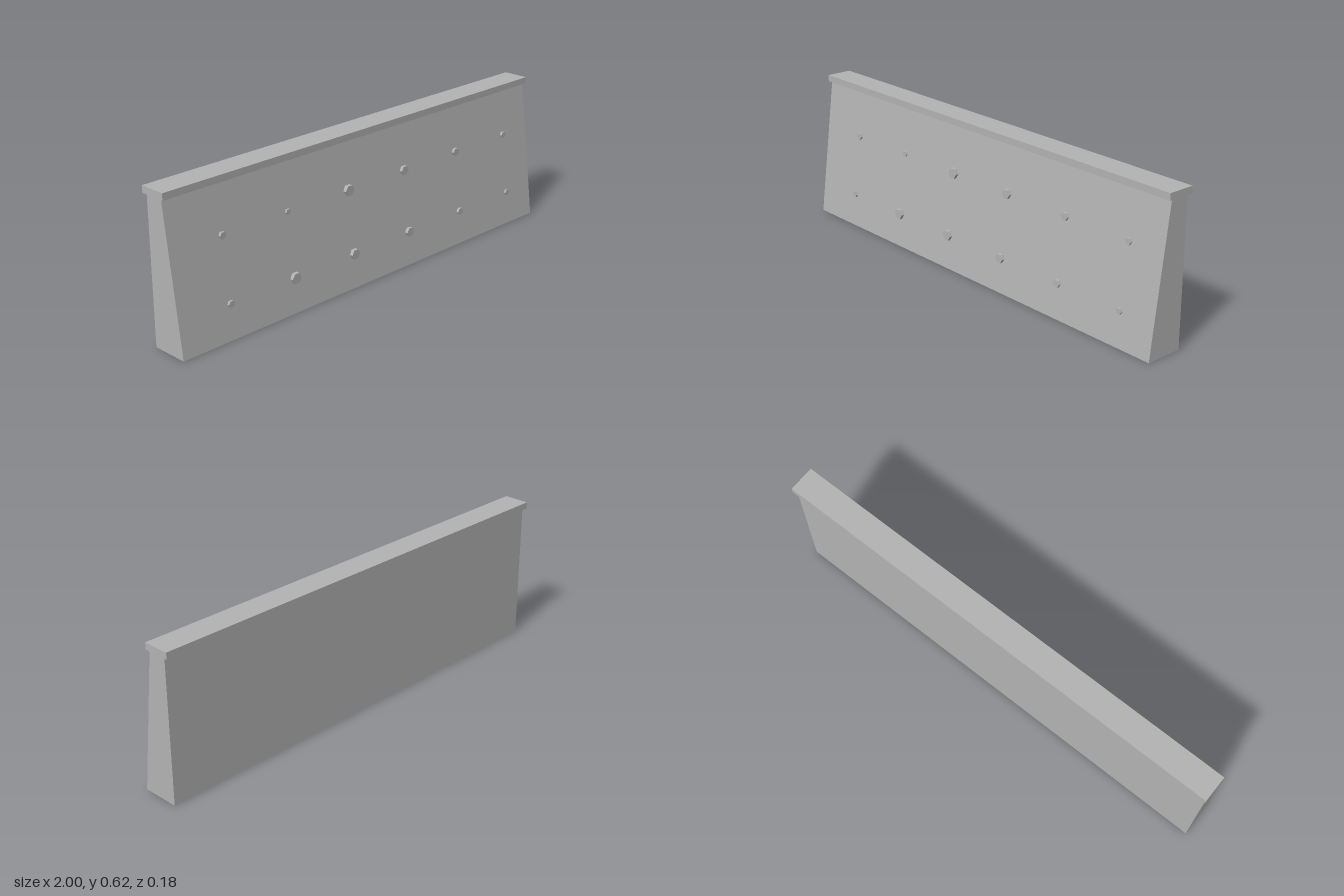
import * as THREE from 'three';

export function createModel() {
  const group = new THREE.Group();
  const concrete = new THREE.MeshStandardMaterial({ color: 0xb3b3b3 });
  concrete.name = 'concrete grey';

  function add(name, geometry, x, y, z) {
    const mesh = new THREE.Mesh(geometry, concrete);
    mesh.name = name;
    mesh.position.set(x, y, z);
    group.add(mesh);
  }

  // Wall: battered front and upright back, extruded along x
  const height = 0.595, footZ = 0.088, headZ = 0.01, backZ = -0.07;
  const profile = new THREE.Shape([
    new THREE.Vector2(-footZ, 0),
    new THREE.Vector2(-backZ, 0),
    new THREE.Vector2(-backZ, height),
    new THREE.Vector2(-headZ, height),
  ]);
  const wall = new THREE.ExtrudeGeometry(profile, { depth: 1.99, bevelEnabled: false });
  wall.rotateY(Math.PI / 2);
  add('wall', wall, -0.995, 0, 0);

  // Coping along the top, overhanging on all sides
  add('coping', new THREE.BoxGeometry(2, 0.028, 0.113), 0, 0.609, -0.0315);

  // Hexagonal drain stubs in two rows, of differing sizes
  const rows = [
    { y: 0.14, radii: [0.014, 0.023, 0.022, 0.02, 0.016, 0.013] },
    { y: 0.4, radii: [0.015, 0.012, 0.023, 0.02, 0.017, 0.014] },
  ];
  for (const { y, radii } of rows) {
    const faceZ = footZ + (headZ - footZ) * y / height;
    radii.forEach((r, i) => {
      const length = 0.03;
      const stub = new THREE.CylinderGeometry(r, r, length, 6).toNonIndexed();
      stub.rotateY(Math.PI / 6 * 3);
      stub.rotateX(Math.PI / 2);
      stub.computeVertexNormals();
      add('drainStub', stub, -0.757 + i * 0.318, y, faceZ + r * 0.62 - length / 2);
    });
  }
  return group;
}
